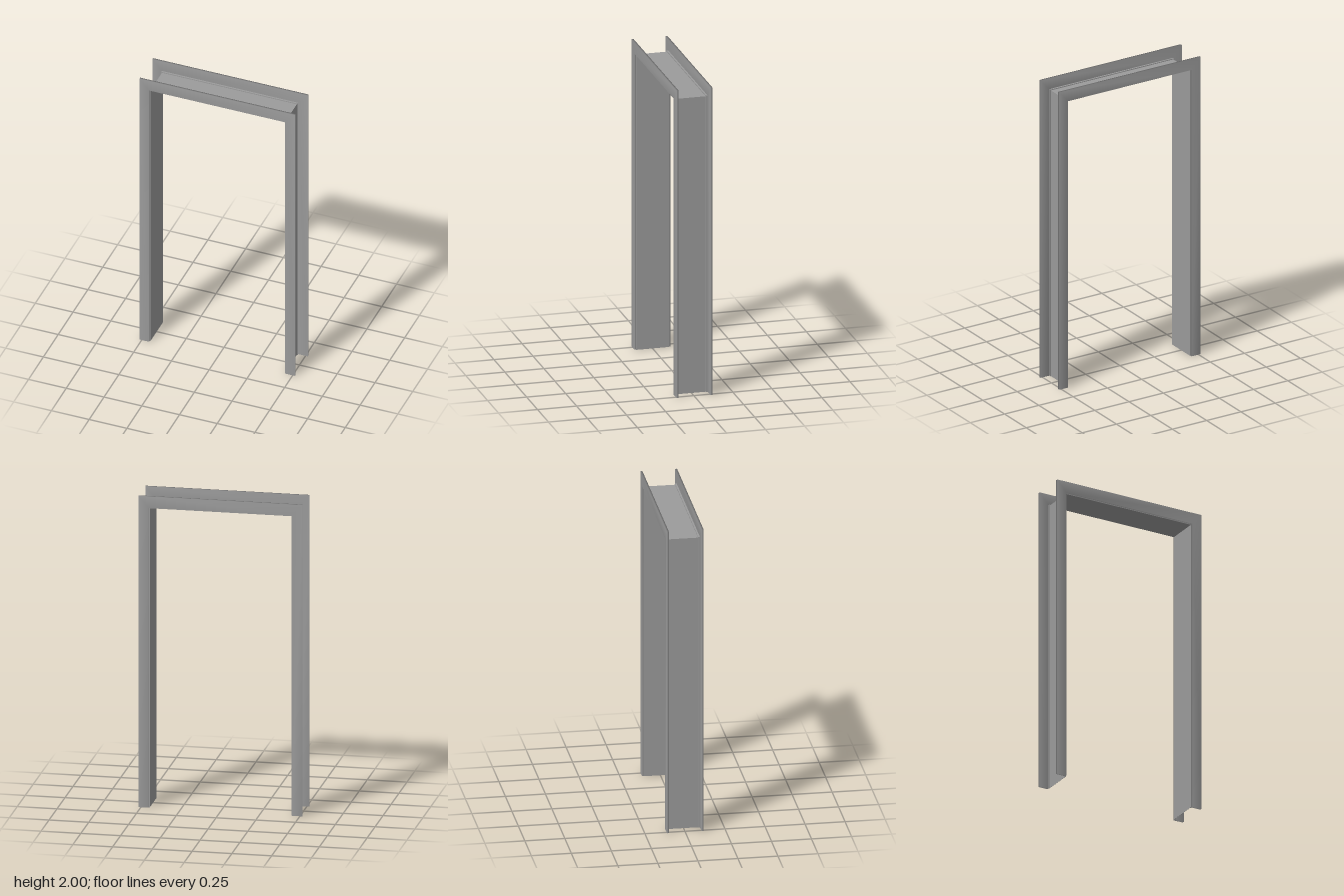
import * as THREE from 'three';
import { mergeVertices } from 'three/addons/utils/BufferGeometryUtils.js';

const HALF_WIDTH = 0.4455; // clear opening, half width
const HEIGHT = 1.921;      // clear opening height
const HEAD = 1.13;         // the head is slightly deeper than the jambs

const material = new THREE.MeshStandardMaterial({ color: 0x9b9b9b });

// Door-shaped band open at the floor, between two offsets from the opening
function frameBand(name, inner, outer, z0, z1, smooth = false) {
  const xi = HALF_WIDTH + inner, xo = HALF_WIDTH + outer;
  const yi = HEIGHT + inner * HEAD, yo = HEIGHT + outer * HEAD;
  const shape = new THREE.Shape([
    [-xo, 0], [-xi, 0], [-xi, yi], [xi, yi], [xi, 0], [xo, 0], [xo, yo], [-xo, yo],
  ].map(([x, y]) => new THREE.Vector2(x, y)));
  let geometry = new THREE.ExtrudeGeometry(shape, { depth: z1 - z0, bevelEnabled: false });
  geometry.translate(0, 0, z0);
  if (smooth) { // share corners so that the shading runs softly over the narrow edges
    geometry.deleteAttribute('normal');
    geometry.deleteAttribute('uv');
    geometry = mergeVertices(geometry);
    geometry.computeVertexNormals();
  }
  const mesh = new THREE.Mesh(geometry, material);
  mesh.name = name;
  return mesh;
}

export function createModel() {
  const group = new THREE.Group();
  group.name = 'doorFrame';

  // Thin lining around the opening
  group.add(frameBand('lining', 0, 0.001, -0.092, 0.092));

  for (const [side, s] of [['front', 1], ['back', -1]]) {
    const band = (part, inner, outer, a, b, smooth) =>
      group.add(frameBand(side + part, inner, outer, Math.min(s * a, s * b), Math.max(s * a, s * b), smooth));
    // Small stepped lip joining the lining to the casing
    band('Lip', 0, 0.006, 0.091, 0.104, false);
    // Flat casing standing proud of the lining, with softly shaded edges
    band('Casing', 0.005, 0.0695, 0.102, 0.115, true);
  }
  return group;
}
